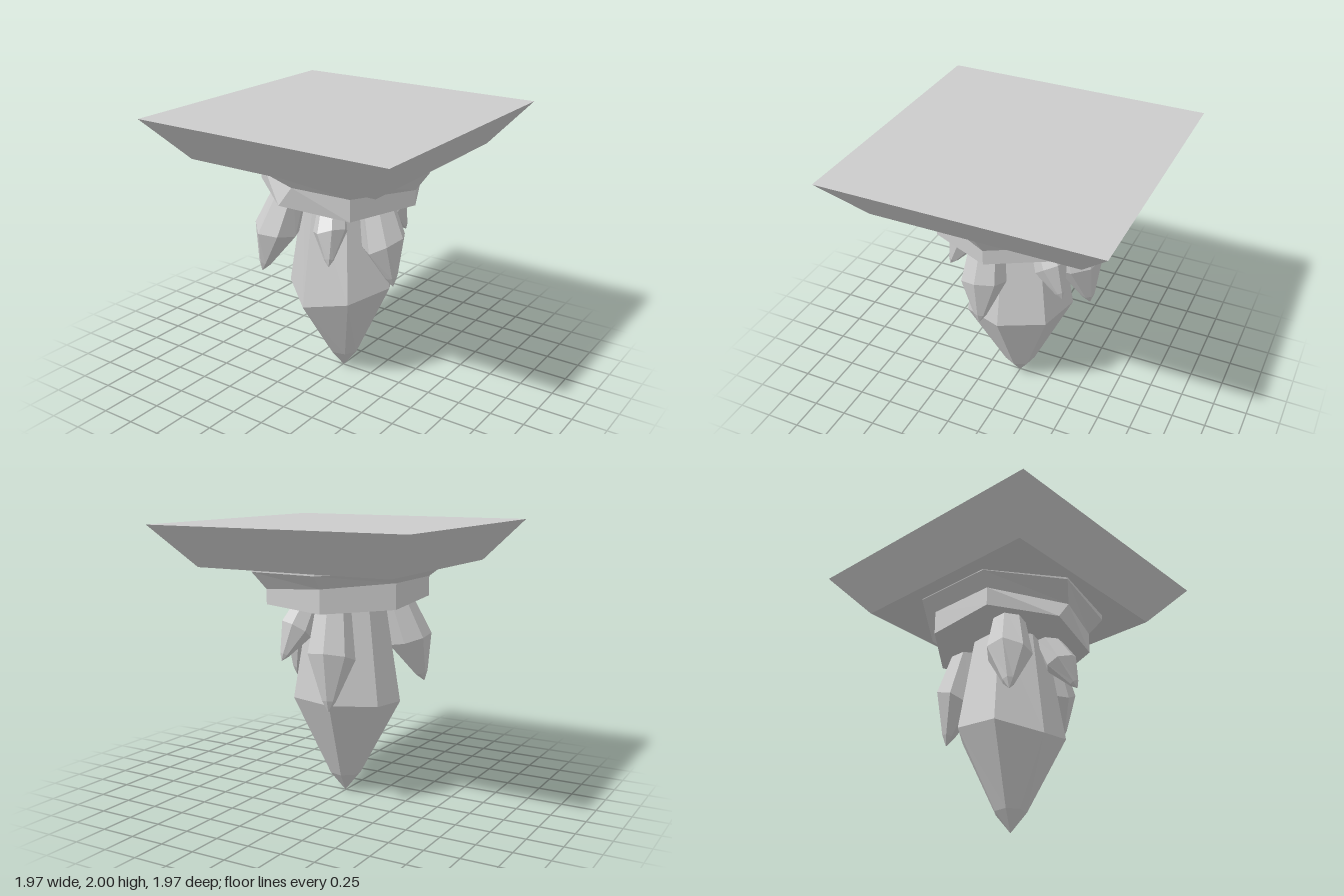
import * as THREE from 'three';

const material = new THREE.MeshStandardMaterial({ color: 0xcccccc, flatShading: true });

// Skin a stack of rings, listed from top to bottom, and close both ends.
function loft(name, rings) {
  const pos = [];
  const tri = (...pts) => pts.forEach((p) => pos.push(p.x, p.y, p.z));
  const n = rings[0].length;
  const centre = (ring) => ring.reduce((s, p) => s.add(p), new THREE.Vector3()).divideScalar(n);
  const top = rings[0], bottom = rings[rings.length - 1];
  const topMid = centre(top), bottomMid = centre(bottom);
  const isTip = bottom[0].distanceTo(bottom[1]) < 1e-6;
  for (let j = 0; j < n; j++) {
    const k = (j + 1) % n;
    for (let i = 0; i < rings.length - 1; i++) {
      const a = rings[i], b = rings[i + 1];
      tri(a[j], a[k], b[j]);
      if (!(isTip && i === rings.length - 2)) tri(a[k], b[k], b[j]);
    }
    tri(topMid, top[k], top[j]);
    if (!isTip) tri(bottomMid, bottom[j], bottom[k]);
  }
  const geo = new THREE.BufferGeometry();
  geo.setAttribute('position', new THREE.Float32BufferAttribute(pos, 3));
  geo.computeVertexNormals();
  const mesh = new THREE.Mesh(geo, material);
  mesh.name = name;
  return mesh;
}

// Regular ring with one corner on +x; y is a height or a list of heights.
function ring(radius, y, sides = 7, turn = 0) {
  return Array.from({ length: sides }, (_, i) => {
    const a = turn + (i / sides) * Math.PI * 2;
    return new THREE.Vector3(Math.cos(a) * radius, Array.isArray(y) ? y[i] : y, Math.sin(a) * radius);
  });
}

// Seven-sided crystal hanging from root to tip, with an uneven belly.
const bellyHeights = [0.74, 0.685, 0.61, 0.69, 0.72, 0.74, 0.745].map((y) => y / 1.45);
function crystal(name, root, tip, radius) {
  const from = new THREE.Vector3(...root), to = new THREE.Vector3(...tip);
  const axis = from.clone().sub(to);
  const length = axis.length();
  const turn = new THREE.Quaternion().setFromUnitVectors(new THREE.Vector3(0, 1, 0), axis.normalize());
  const rings = [
    ring(radius * 0.7, length),
    ring(radius, bellyHeights.map((h) => h * length)),
    ring(radius * 0.29, length * 0.1),
    ring(0, 0),
  ];
  rings.flat().forEach((p) => p.applyQuaternion(turn).add(to));
  return loft(name, rings);
}

export function createModel() {
  const group = new THREE.Group();

  // Flared square slab
  const q = Math.PI / 4;
  group.add(loft('topSlab', [ring(0.985 * Math.SQRT2, 2, 4, q), ring(0.745 * Math.SQRT2, 1.705, 4, q)]));

  // Crooked seven-sided collar
  const bandTop = ring(0.595, 0);
  bandTop.forEach((p) => { p.y = 1.577 - 0.08 * p.x; });
  bandTop[2].x = -0.02;
  group.add(loft('collar', [
    ring(0.7, 1.71),
    ring(0.7, [1.67, 1.665, 1.69, 1.7, 1.7, 1.685, 1.67]),
    bandTop,
    ring(0.595, [1.42, 1.39, 1.44, 1.48, 1.44, 1.42, 1.44]),
  ]));

  // Large central crystal
  group.add(crystal('mainCrystal', [0, 1.46, 0], [0.005, 0.005, 0], 0.4));

  // Smaller crystals leaning outward around it
  const small = [
    ['leftCrystal', [0.32, 1.48, 0.09], [0.49, 0.82, 0.095], 0.16],
    ['frontRightCrystal', [-0.27, 1.48, 0.23], [-0.45, 0.82, 0.39], 0.165],
    ['frontLeftCrystal', [0.09, 1.48, 0.26], [0.2, 1.03, 0.47], 0.12],
    ['backLeftCrystal', [0.16, 1.48, -0.22], [0.27, 1.04, -0.44], 0.12],
    ['backCrystal', [-0.09, 1.48, -0.33], [-0.15, 0.735, -0.5], 0.17],
  ];
  small.forEach((c) => group.add(crystal(...c)));

  return group;
}
